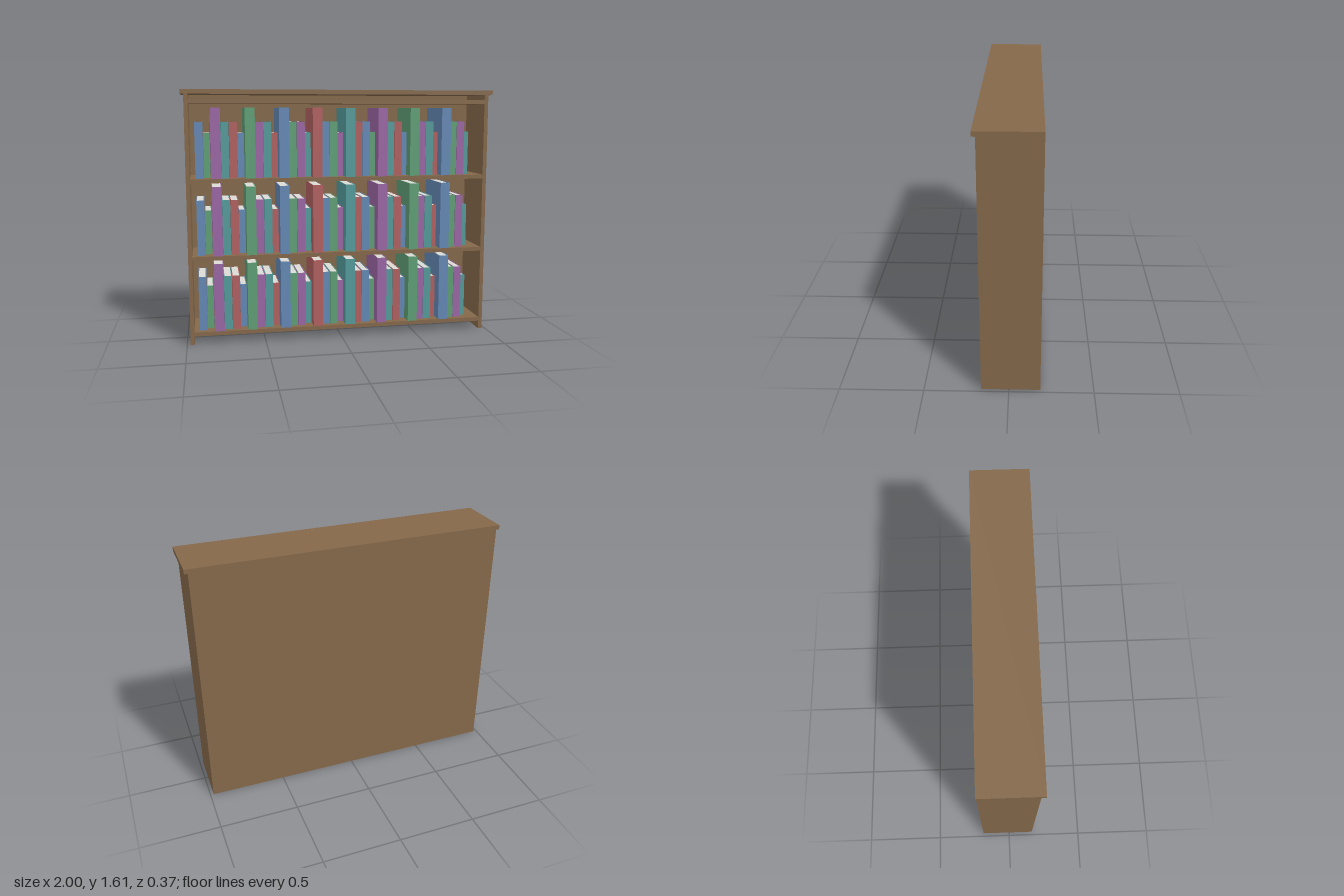
import * as THREE from 'three';

const mat = (name, color) => {
  const m = new THREE.MeshStandardMaterial({ color });
  m.name = name;
  return m;
};

export function createModel() {
  const root = new THREE.Group();
  root.name = 'bookcase';

  const wood = mat('brown wood', 0x84684a);
  const paper = mat('paper', 0xdcdad4);
  const covers = [
    mat('blue cover', 0x6488b4),
    mat('green cover', 0x5f9e76),
    mat('purple cover', 0x9a66a4),
    mat('teal cover', 0x559a9a),
    mat('red cover', 0xb06060),
  ];

  // Box given by its minimum and maximum corners
  const box = (parent, name, material, [x0, y0, z0], [x1, y1, z1]) => {
    const mesh = new THREE.Mesh(new THREE.BoxGeometry(x1 - x0, y1 - y0, z1 - z0), material);
    mesh.position.set((x0 + x1) / 2, (y0 + y1) / 2, (z0 + z1) / 2);
    mesh.name = name;
    parent.add(mesh);
  };

  // Carcass: back, two sides and overhanging top
  const back = -0.185, inner = -0.16, front = 0.165;
  box(root, 'backPanel', wood, [-0.954, 0, back], [0.954, 1.58, inner]);
  box(root, 'leftSide', wood, [0.954, 0, back], [0.979, 1.58, front]);
  box(root, 'rightSide', wood, [-0.979, 0, back], [-0.954, 1.58, front]);
  box(root, 'top', wood, [-1, 1.58, back], [1, 1.608, 0.185]);

  // Shelves, flush with the front of the sides
  const shelfTops = [0.08, 0.569, 1.058, 1.548];
  shelfTops.forEach((y, i) =>
    box(root, `shelf${i + 1}`, wood, [-0.954, y - 0.026, inner], [0.954, y, front]));

  // One book: spine, two covers and a page block set in slightly
  const makeBook = (name, material, x, y, w, h, zFront) => {
    const book = new THREE.Group();
    book.name = name;
    const t = 0.004, z0 = inner + 0.001;
    box(book, 'spine', material, [x, y, zFront - t], [x + w, y + h, zFront]);
    box(book, 'frontCover', material, [x, y, z0], [x + t, y + h, zFront - t]);
    box(book, 'backCover', material, [x + w - t, y, z0], [x + w, y + h, zFront - t]);
    box(book, 'pages', paper, [x + t, y + 0.003, z0 + 0.004], [x + w - t, y + h - 0.003, zFront - t]);
    return book;
  };

  // Repeating sizes: medium, short, tall, medium
  const medium = { w: 0.05, h: 0.351, z: 0.126 };
  const short = { w: 0.0415, h: 0.282, z: 0.085 };
  const tall = { w: 0.0625, h: 0.439, z: 0.164 };
  const sizes = [medium, short, tall, medium];

  shelfTops.slice(0, 3).forEach((y, row) => {
    const books = new THREE.Group();
    books.name = `bookRow${row + 1}`;
    let x = -0.92;
    for (let i = 0; i < 34; i++) {
      const s = sizes[i % 4];
      books.add(makeBook(`book${i + 1}`, covers[i % 5], x, y, s.w, s.h, s.z));
      x += s.w + 0.0022;
    }
    root.add(books);
  });

  return root;
}
